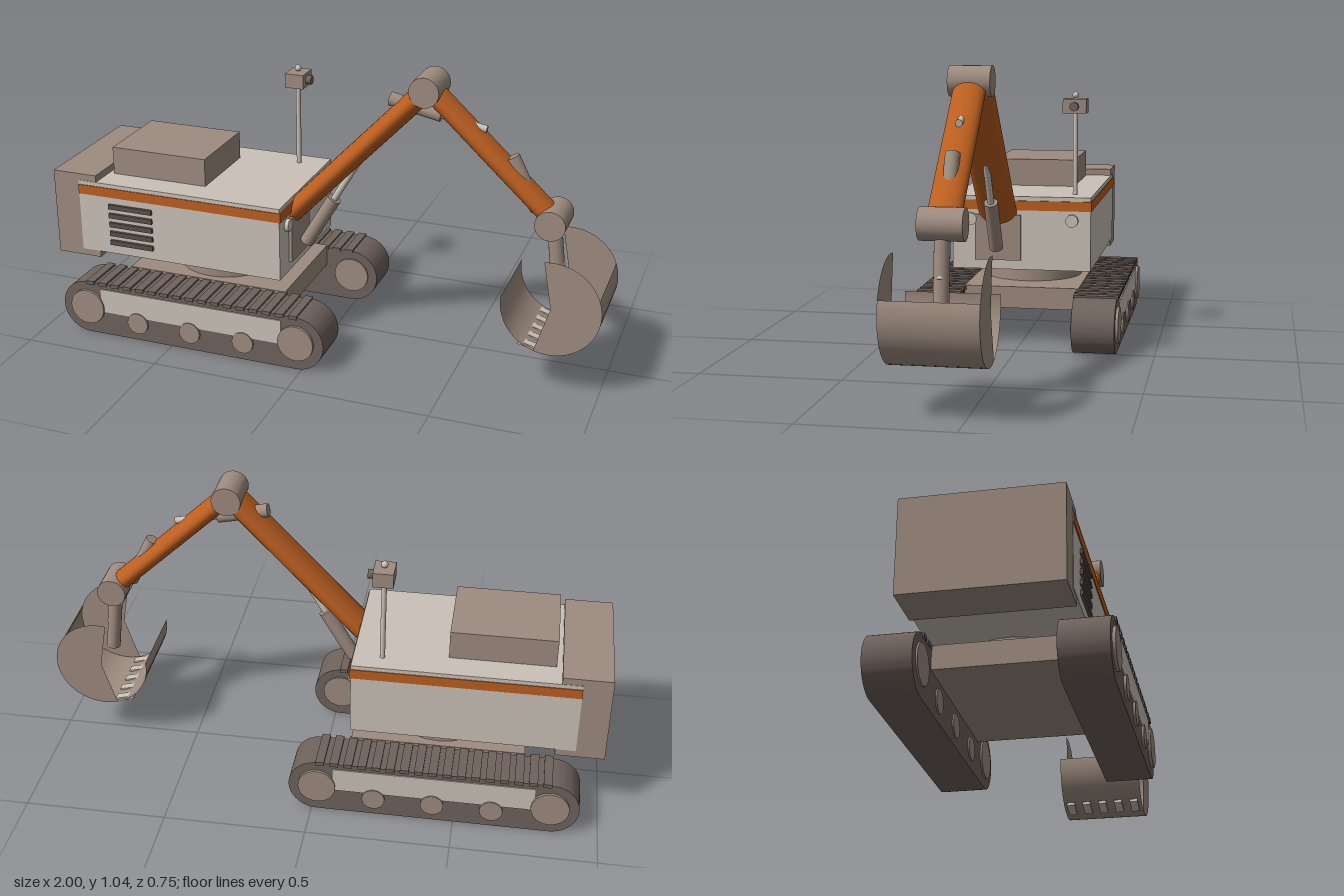
import * as THREE from 'three';
import { toCreasedNormals } from 'three/addons/utils/BufferGeometryUtils.js';

const paint = (name, color, side = THREE.FrontSide) => {
  const m = new THREE.MeshStandardMaterial({ color, side });
  m.name = name;
  return m;
};

export function createModel() {
  const cream = paint('cream panel', 0xcac2b8);
  const taupe = paint('taupe metal', 0x9e8c80);
  const taupeSheet = paint('taupe sheet', 0x9e8c80, THREE.DoubleSide);
  const orange = paint('orange paint', 0xbc5f20);
  const dark = paint('dark track', 0x6f625c);
  const vent = paint('dark vent', 0x5a504b);

  const model = new THREE.Group();
  model.name = 'excavator';
  const group = (name) => {
    const g = new THREE.Group();
    g.name = name;
    model.add(g);
    return g;
  };
  const add = (parent, name, geo, mat, x = 0, y = 0, z = 0) => {
    const m = new THREE.Mesh(geo, mat);
    m.name = name;
    m.position.set(x, y, z);
    parent.add(m);
    return m;
  };
  // box given by its extents
  const box = (parent, name, mat, [x0, x1], [y0, y1], [z0, z1]) =>
    add(parent, name, new THREE.BoxGeometry(x1 - x0, y1 - y0, z1 - z0), mat,
      (x0 + x1) / 2, (y0 + y1) / 2, (z0 + z1) / 2);
  // round or oval bar between two points; r is in the side plane, rz across it
  const bar = (parent, name, mat, a, b, r, rz = r) => {
    const A = new THREE.Vector3(...a), B = new THREE.Vector3(...b);
    const geo = new THREE.CylinderGeometry(1, 1, A.distanceTo(B), 24);
    geo.scale(r, 1, rz);
    const m = add(parent, name, geo, mat);
    m.position.copy(A).add(B).multiplyScalar(0.5);
    m.quaternion.setFromUnitVectors(new THREE.Vector3(0, 1, 0), B.sub(A).normalize());
    return m;
  };

  // Tracks
  const xa = -0.83, xb = -0.02, R = 0.1;
  const loop = new THREE.Shape();
  loop.absarc(xb, R, R, -Math.PI / 2, Math.PI / 2);
  loop.absarc(xa, R, R, Math.PI / 2, Math.PI * 1.5);
  const beltGeo = toCreasedNormals(
    new THREE.ExtrudeGeometry(loop, { depth: 0.153, bevelEnabled: false, curveSegments: 20 }), 0.6);
  for (const s of [1, -1]) {
    const track = group(s > 0 ? 'frontTrack' : 'rearTrack');
    add(track, 'belt', beltGeo, dark, 0, 0, s > 0 ? 0.21 : -0.363);
    for (const x of [xa, xb])
      bar(track, 'endWheel', taupe, [x, 0.103, s * 0.204], [x, 0.103, s * 0.373], 0.066);
    for (const x of [-0.63, -0.425, -0.22])
      bar(track, 'roller', taupe, [x, 0.068, s * 0.205], [x, 0.068, s * 0.371], 0.04);
    add(track, 'sideFrame', new THREE.BoxGeometry(0.7, 0.09, 0.008), cream, -0.425, 0.135, s * 0.363);
    for (let i = 0; i < 17; i++)
      add(track, 'treadPad', new THREE.BoxGeometry(0.03, 0.014, 0.163), dark,
        -0.815 + i * 0.049, 0.2, s * 0.2865);
  }

  // Undercarriage and turntable
  const base = group('undercarriage');
  box(base, 'crossFrame', taupe, [-0.73, -0.12], [0.13, 0.21], [-0.212, 0.212]);
  bar(base, 'turntable', taupe, [-0.425, 0.205, 0], [-0.425, 0.28, 0], 0.185);

  // House
  const house = group('house');
  box(house, 'body', cream, [-0.9, -0.12], [0.275, 0.545], [-0.255, 0.255]);
  box(house, 'stripe', orange, [-0.9, -0.115], [0.495, 0.53], [-0.258, 0.258]);
  box(house, 'counterweight', taupe, [-1, -0.83], [0.25, 0.57], [-0.2535, 0.2535]);
  box(house, 'engineHood', taupe, [-0.81, -0.445], [0.54, 0.647], [-0.153, 0.153]);
  box(house, 'boomBracket', taupe, [-0.125, -0.108], [0.31, 0.477], [0, 0.17]);
  for (let i = 0; i < 5; i++)
    box(house, 'ventSlat', vent, [-0.78, -0.61],
      [0.312 + i * 0.035, 0.33 + i * 0.035], [0.25, 0.265]);
  for (const s of [1, -1])
    bar(house, 'lamp', cream, [-0.125, 0.46, s * 0.187], [-0.106, 0.46, s * 0.187], 0.023);

  // Mast with camera
  const mast = group('mast');
  bar(mast, 'pole', cream, [-0.22, 0.54, -0.185], [-0.22, 0.85, -0.185], 0.009);
  box(mast, 'cameraBox', taupe, [-0.255, -0.185], [0.845, 0.897], [-0.228, -0.142]);
  bar(mast, 'lens', dark, [-0.19, 0.87, -0.185], [-0.166, 0.87, -0.185], 0.016);
  add(mast, 'beacon', new THREE.SphereGeometry(0.012, 16, 12), cream, -0.22, 0.91, -0.185);

  // Arm
  const arm = group('arm');
  const z = 0.086;
  const elbow = [0.355, 0.987, z], wrist = [0.795, 0.58, z];
  bar(arm, 'boom', orange, [-0.135, 0.47, z], elbow, 0.037, 0.07);
  bar(arm, 'stick', orange, elbow, wrist, 0.034, 0.055);
  for (const [name, [x, y]] of [['elbowJoint', elbow], ['wristJoint', wrist]])
    bar(arm, name, taupe, [x, y, z - 0.071], [x, y, z + 0.071], 0.052);
  // each ram: sleeve start, sleeve end, rod end, sleeve radius
  const rams = [
    ['boomRam', [-0.085, 0.36], [0.02, 0.54], [0.11, 0.695], 0.025],
    ['stickRam', [0.22, 0.932], [0.4, 0.895], [0.555, 0.864], 0.024],
    ['bucketRam', [0.645, 0.78], [0.735, 0.605], [0.832, 0.416], 0.024],
  ];
  for (const [name, a, b, c, r] of rams) {
    bar(arm, name + 'Sleeve', taupe, [...a, z], [...b, z], r);
    bar(arm, name + 'Rod', cream, [...b, z], [...c, z], 0.012);
  }
  bar(arm, 'bucketLink', taupe, wrist, [0.828, 0.31, z], 0.025);

  // Bucket: curved shell, two side plates and teeth
  const bucket = group('bucket');
  const cx = 0.83, cy = 0.323, br = 0.169, half = 0.153;
  const deg = Math.PI / 180, span = 207 * deg;
  // cylinder angle t lies at (sin t, cos t); turned so that its axis runs along z
  const shell = new THREE.CylinderGeometry(br, br, half * 2, 32, 1, true, 70 * deg, span);
  shell.rotateX(Math.PI / 2);
  shell.rotateZ(0);
  // start angle 70 from -y going up is -20; turn so the arc runs from -187 to 20
  shell.rotateZ(-167 * deg);
  add(bucket, 'shell', shell, taupeSheet, cx, cy, z);
  for (const s of [1, -1])
    add(bucket, 'sidePlate', new THREE.CircleGeometry(br, 32, -107 * deg, span),
      taupeSheet, cx, cy, z + s * half);
  for (let i = -2; i <= 2; i++)
    add(bucket, 'tooth', new THREE.BoxGeometry(0.07, 0.012, 0.03), cream,
      0.757, 0.168, z + i * 0.062).rotation.z = -15 * deg;

  return model;
}
